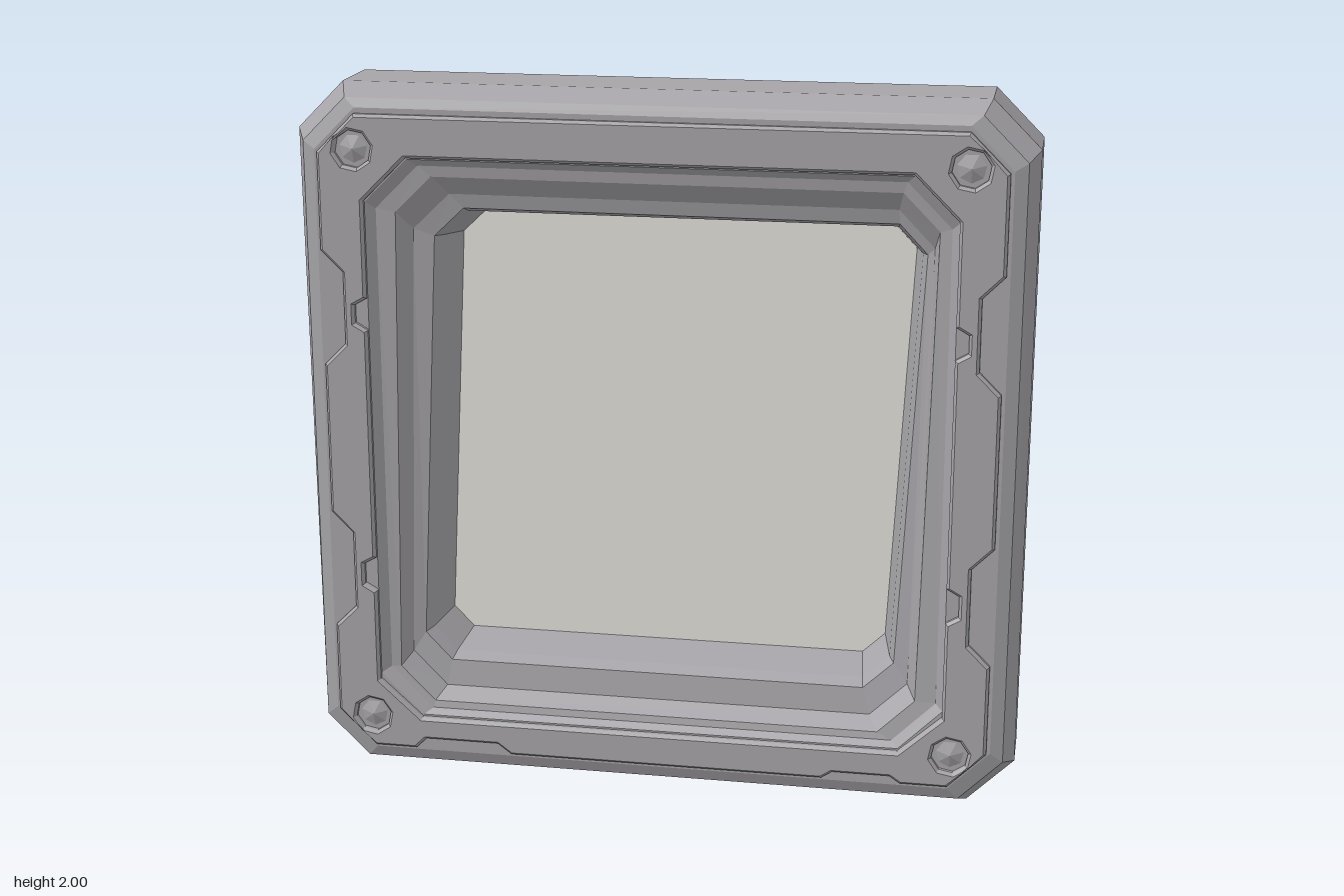
import * as THREE from 'three';

const frameMat = new THREE.MeshStandardMaterial({ color: 0xa6a4a8, flatShading: true });
frameMat.name = 'frame grey';
const paneMat = new THREE.MeshStandardMaterial({ color: 0xe2e0d9, flatShading: true });
paneMat.name = 'pane pale grey';

// Octagonal ring, counter-clockwise from the front; zb / zt are depths at bottom and top
function ring(l, r, b, t, c, zb, zt = zb, shear = 0) {
  const pts = [[l + c, b], [r - c, b], [r, b + c], [r, t - c], [r - c, t], [l + c, t], [l, t - c], [l, b + c]];
  return pts.map(([x, y]) => new THREE.Vector3(
    x + shear * (y - 1), y, THREE.MathUtils.lerp(zb, zt, (y - b) / (t - b))));
}

function geometryFrom(triangles) {
  const g = new THREE.BufferGeometry().setFromPoints(triangles);
  g.computeVertexNormals();
  return g;
}

function loft(rings) {
  const out = [];
  for (let k = 0; k < rings.length - 1; k++) {
    const a = rings[k], b = rings[k + 1];
    a.forEach((p, i) => {
      const j = (i + 1) % a.length;
      out.push(p, a[j], b[j], p, b[j], b[i]);
    });
  }
  return out;
}

function cap(r, flip) {
  const out = [];
  for (let i = 1; i < r.length - 1; i++) out.push(r[0], r[flip ? i + 1 : i], r[flip ? i : i + 1]);
  return out;
}

export function createModel() {
  const model = new THREE.Group();
  const add = (name, geo, mat, x = 0, y = 0, z = 0) => {
    const m = new THREE.Mesh(geo, mat);
    m.name = name;
    m.position.set(x, y, z);
    model.add(m);
  };

  // Body: back, walls, front bevel and the stepped recess down to the pane
  const back = ring(-1, 1, 0, 2, 0.13, -0.148);
  const paneRing = ring(-0.62, 0.645, 0.375, 1.62, 0.06, -0.13, -0.13, 0.05);
  const rings = [
    back,
    ring(-1, 1, 0, 2, 0.13, 0.0, 0.05),
    ring(-0.97, 0.97, 0.05, 1.965, 0.12, 0.11),
    ring(-0.935, 0.935, 0.085, 1.94, 0.115, 0.125),
    ring(-0.8, 0.8, 0.195, 1.805, 0.12, 0.125),
    ring(-0.775, 0.78, 0.21, 1.785, 0.12, 0.105),
    ring(-0.735, 0.735, 0.23, 1.755, 0.1, 0.1, 0.1, 0.02),
    ring(-0.705, 0.715, 0.26, 1.70, 0.1, 0.05, 0.05, 0.03),
    ring(-0.66, 0.685, 0.335, 1.66, 0.08, 0.04, 0.04, 0.05),
    ring(-0.645, 0.67, 0.35, 1.645, 0.07, 0.0, 0.0, 0.05),
    paneRing,
  ];
  add('frameBody', geometryFrom([...cap(back, true), ...loft(rings)]), frameMat);
  add('pane', geometryFrom(cap(paneRing, false)), paneMat);

  // Raised front plate with notches along its edges
  const o = 0.925, d = 0.06;
  const sideNotch = (s, y0, y1) => [[s * o, y0], [s * (o - d), y0 + 0.06 * Math.sign(y1 - y0)],
    [s * (o - d), y1 - 0.06 * Math.sign(y1 - y0)], [s * o, y1]];
  const outer = [
    [-0.82, 0.095], [-0.7, 0.095], [-0.67, 0.125], [-0.46, 0.125], [-0.42, 0.095],
    [0.47, 0.095], [0.5, 0.115], [0.66, 0.115], [0.69, 0.095], [0.82, 0.095], [o, 0.2],
    ...sideNotch(1, 0.46, 0.8), ...sideNotch(1, 1.23, 1.55),
    [o, 1.82], [0.82, 1.925], [-0.82, 1.925], [-o, 1.82],
    ...sideNotch(-1, 1.55, 1.23), ...sideNotch(-1, 0.8, 0.46), [-o, 0.2],
  ];
  const innerSide = (s, ys) => ys.flatMap(([a, b]) => {
    const e = 0.02 * Math.sign(b - a);
    return [[s * 0.8, a], [s * 0.835, a + e], [s * 0.835, b - e], [s * 0.8, b]];
  });
  const inner = [
    [-0.68, 0.19], [-0.8, 0.3], ...innerSide(-1, [[0.57, 0.67], [1.33, 1.42]]), [-0.8, 1.69], [-0.68, 1.81],
    [0.68, 1.81], [0.8, 1.69], ...innerSide(1, [[1.41, 1.32], [0.68, 0.58]]), [0.8, 0.3], [0.68, 0.19],
  ];
  const v2 = (pts) => pts.map(([x, y]) => new THREE.Vector2(x, y));
  const plate = new THREE.Shape(v2(outer));
  plate.holes.push(new THREE.Path(v2(inner)));
  const bolts = [-1, 1].flatMap((s) => [[s * 0.825, 1.83], [s * 0.825, 0.19]]);
  for (const [x, y] of bolts) {
    const hole = [];
    for (let i = 0; i < 8; i++) {
      const a = -i * Math.PI / 4 + 0.2;
      hole.push([x + 0.052 * Math.cos(a), y + 0.052 * Math.sin(a)]);
    }
    plate.holes.push(new THREE.Path(v2(hole)));
  }
  add('frontPlate', new THREE.ExtrudeGeometry(plate, {
    depth: 0.02, bevelEnabled: true, bevelThickness: 0.01, bevelSize: 0.008, bevelOffset: -0.008, bevelSegments: 1,
  }), frameMat, 0, 0, 0.115);

  // Low faceted bolts sunk in the corner sockets
  const boltGeo = new THREE.ConeGeometry(0.045, 0.016, 7).rotateX(Math.PI / 2);
  for (const [x, y] of bolts) add('cornerBolt', boltGeo, frameMat, x, y, 0.131);

  return model;
}
